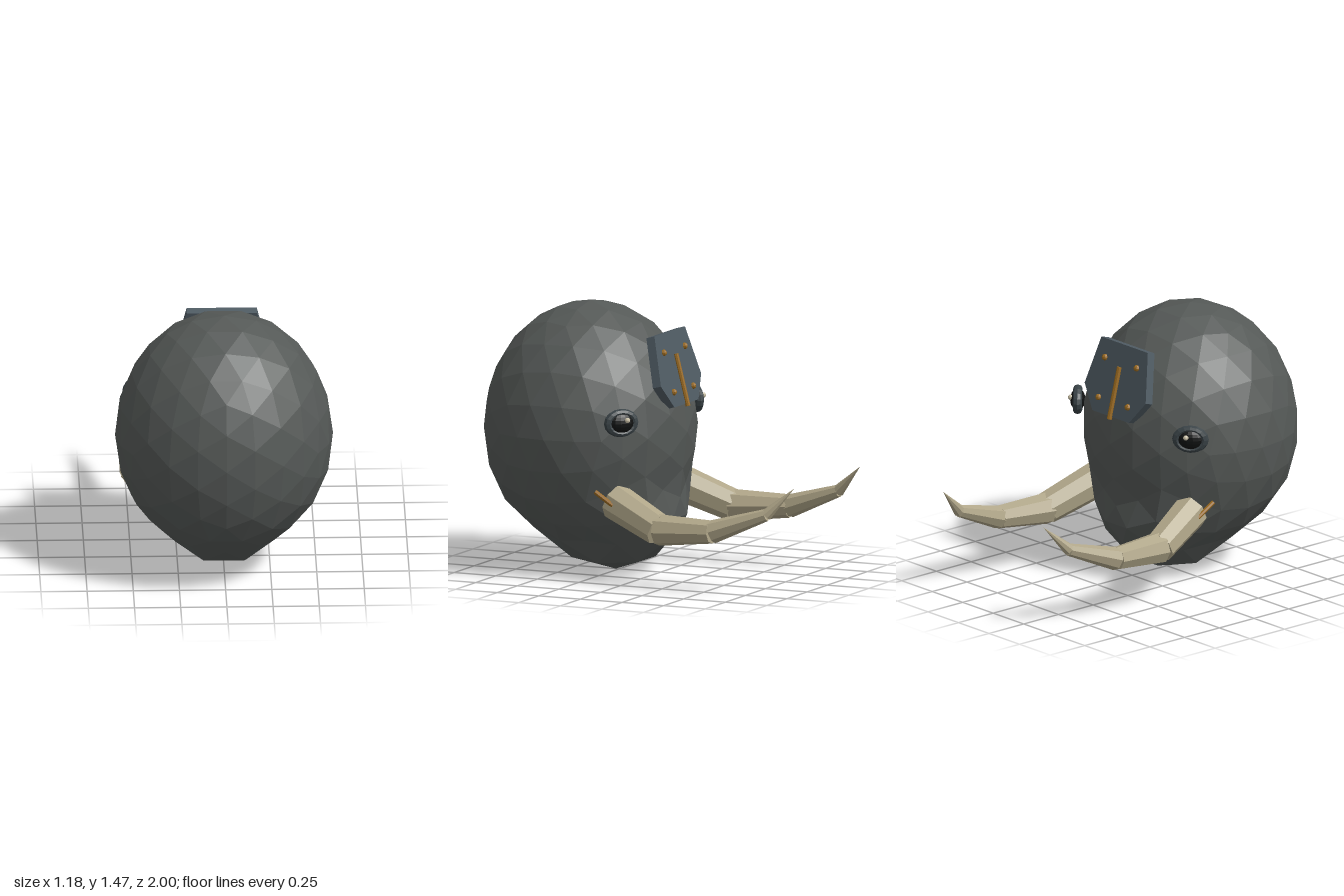
import * as THREE from 'three';

const mat = (color) => new THREE.MeshStandardMaterial({ color, flatShading: true });
const clamp01 = (v) => Math.min(1, Math.max(0, v));

export function createModel() {
  const model = new THREE.Group();
  const skin = mat(0x555957), ivory = mat(0xb0a689), steel = mat(0x4f5b63);
  const brass = mat(0x9a6a20), rim = mat(0x3a4347), black = mat(0x101212), glint = mat(0xc8bfa6);

  const add = (parent, name, geometry, material, x = 0, y = 0, z = 0) => {
    const mesh = new THREE.Mesh(geometry, material);
    mesh.name = name;
    mesh.position.set(x, y, z);
    parent.add(mesh);
    return mesh;
  };

  // Tapered faceted bar from a (radius ra) to b (radius rb)
  const bar = (parent, name, material, a, b, ra, rb, sides = 8) => {
    const from = new THREE.Vector3(...a), to = new THREE.Vector3(...b);
    const dir = to.clone().sub(from);
    const mesh = add(parent, name, new THREE.CylinderGeometry(rb, ra, dir.length(), sides), material);
    mesh.position.copy(from).add(to).multiplyScalar(0.5);
    mesh.quaternion.setFromUnitVectors(new THREE.Vector3(0, 1, 0), dir.normalize());
    return mesh;
  };

  // Head: faceted ball whose underside is drawn down and back into a chin
  const headGeo = new THREE.IcosahedronGeometry(1, 3);
  const p = headGeo.attributes.position;
  for (let i = 0; i < p.count; i++) {
    const x = p.getX(i), y = p.getY(i), z = p.getZ(i);
    const jaw = clamp01((-y - 0.45) / 0.55);
    const chin = clamp01((-y - 0.85) / 0.15);
    p.setXYZ(i,
      x * 0.59 * (1 + 0.25 * chin),
      0.78 + y * 0.685 - 0.095 * chin,
      0.42 + z * 0.58 * (1 + 0.33 * jaw) - 0.15 * jaw);
  }
  headGeo.computeVertexNormals();
  add(model, 'head', headGeo, skin);

  // Forehead plate, with its outer face on local z = 0
  const plate = new THREE.Group();
  plate.name = 'foreheadPlate';
  plate.rotation.set(-0.255, Math.PI, 0, 'YXZ');
  plate.position.set(0, 1.13, -0.104);
  model.add(plate);
  const outline = new THREE.Shape([[-0.19, 0.2], [-0.25, -0.07], [-0.15, -0.2], [0.15, -0.2], [0.25, -0.07], [0.19, 0.2]]
    .map(([x, y]) => new THREE.Vector2(x, y)));
  add(plate, 'plate', new THREE.ExtrudeGeometry(outline, { depth: 0.05, bevelEnabled: false }), steel, 0, 0, -0.05);
  bar(plate, 'plateRod', brass, [0, -0.215, 0.006], [0, 0.075, 0.006], 0.014, 0.014);
  for (const s of [-1, 1]) {
    for (const [x, y] of [[0.13, 0.1], [0.12, -0.12]]) {
      add(plate, 'rivet', new THREE.SphereGeometry(0.018, 8, 6), brass, s * x, y, 0.002);
    }
  }

  // Eyes and tusks on both sides
  const tuskPath = [[0.38, 0.44, 0.09], [0.46, 0.315, -0.21], [0.482, 0.33, -0.54], [0.45, 0.44, -0.85], [0.41, 0.59, -1]];
  const tuskRadii = [0.1, 0.088, 0.064, 0.034, 0];
  for (const s of [-1, 1]) {
    const side = s > 0 ? 'left' : 'right';
    const eye = new THREE.Group();
    eye.name = side + 'Eye';
    eye.position.set(s * 0.462, 0.885, 0.015);
    eye.rotation.y = s * 2.39;
    model.add(eye);
    add(eye, 'eyeRim', new THREE.TorusGeometry(0.075, 0.025, 8, 16), rim).scale.set(1, 0.78, 1);
    add(eye, 'eyeball', new THREE.SphereGeometry(0.075, 14, 10), black).scale.set(1, 0.78, 0.55);
    add(eye, 'eyeGlint', new THREE.SphereGeometry(0.015, 8, 6), glint, s * 0.022, 0.018, 0.038);

    const tusk = new THREE.Group();
    tusk.name = side + 'Tusk';
    model.add(tusk);
    const flip = ([x, y, z]) => [s * x, y, z];
    for (let i = 0; i < 4; i++) {
      bar(tusk, i < 3 ? 'tuskSegment' : 'tuskTip', ivory,
        flip(tuskPath[i]), flip(tuskPath[i + 1]), tuskRadii[i], tuskRadii[i + 1]);
    }
    bar(tusk, 'tuskPin', brass, [s * 0.485, 0.5, 0.16], [s * 0.472, 0.43, 0.06], 0.013, 0.013);
  }

  return model;
}
